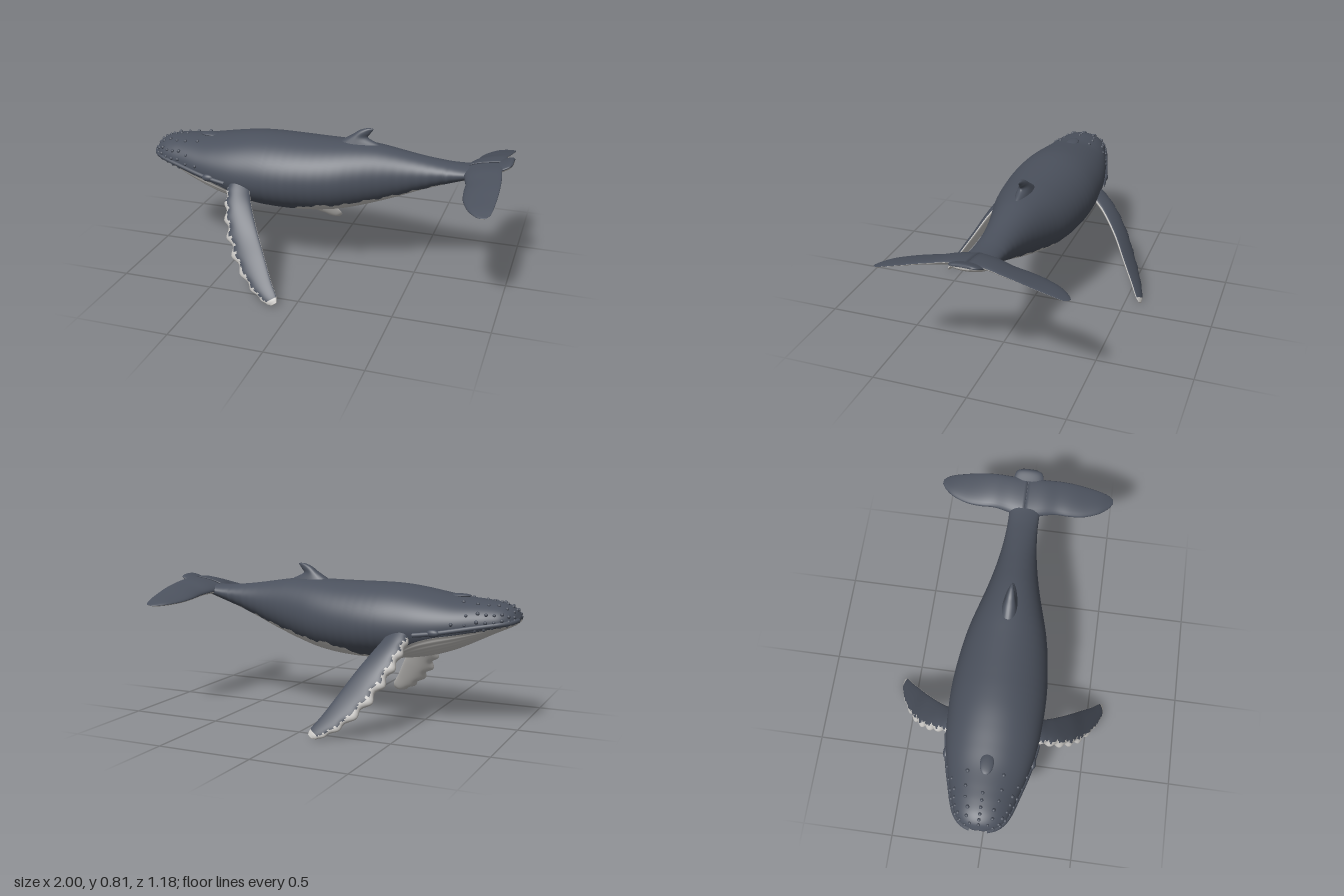
import * as THREE from 'three';

const V = (x, y, z) => new THREE.Vector3(x, y, z);
const curve = pts => new THREE.CatmullRomCurve3(pts, false, 'catmullrom', 0.5);

// Skin closed rings of points; pick(i, j) returns 0 (dark) or 1 (pale) for each quad
function loft(rings, pick) {
  const n = rings[0].length, faces = [[], []], pos = [];
  rings.forEach(r => r.forEach(p => pos.push(p.x, p.y, p.z)));
  const a = V(), b = V(), c = V();
  let volume = 0;
  for (let i = 0; i < rings.length - 1; i++) {
    for (let j = 0; j < n; j++) {
      const k = (j + 1) % n, p = i * n + j, q = i * n + k, r = p + n, s = q + n;
      faces[pick(i, j)].push(p, q, r, q, s, r);
      a.copy(rings[i][j]); b.copy(rings[i][k]); c.copy(rings[i + 1][j]);
      volume += a.dot(b.clone().cross(c));
      a.copy(rings[i][k]); b.copy(rings[i + 1][k]);
      volume += a.dot(b.clone().cross(c));
    }
  }
  // Turn the faces outward on mirrored parts
  if (volume < 0) {
    for (const f of faces) for (let i = 0; i < f.length; i += 3) [f[i], f[i + 1]] = [f[i + 1], f[i]];
  }
  const g = new THREE.BufferGeometry();
  g.setAttribute('position', new THREE.Float32BufferAttribute(pos, 3));
  g.setIndex([...faces[0], ...faces[1]]);
  g.addGroup(0, faces[0].length, 0);
  g.addGroup(faces[0].length, faces[1].length, 1);
  g.computeVertexNormals();
  return g;
}

// Fin from rows [leading xyz, trailing xyz, half thickness]
function blade(rows, side, pick, steps = 40, sides = 28, scallop = 0) {
  const lead = curve(rows.map(r => V(r[0], r[1], r[2] * side)));
  const trail = curve(rows.map(r => V(r[3], r[4], r[5] * side)));
  const thick = curve(rows.map((r, i) => V(i, r[6], 0)));
  const rings = [];
  for (let i = 0; i <= steps; i++) {
    const t = i / steps, e = 0.01;
    const L = lead.getPoint(t), T = trail.getPoint(t);
    const mid = L.clone().add(T).multiplyScalar(0.5);
    const chord = T.clone().sub(L).multiplyScalar(0.5);
    const t0 = Math.max(0, t - e), t1 = Math.min(1, t + e);
    const span = lead.getPoint(t1).add(trail.getPoint(t1)).sub(lead.getPoint(t0)).sub(trail.getPoint(t0));
    const normal = span.cross(chord).normalize().multiplyScalar(side);
    const h = Math.max(0.0005, thick.getPoint(t).y);
    const bump = scallop * Math.sin(t * 62) * Math.sin(Math.PI * t);
    rings.push(Array.from({ length: sides }, (_, j) => {
      const a = (j / sides) * Math.PI * 2, c = Math.cos(a);
      const reach = c + (c < 0 ? c * Math.abs(c) * bump : 0);
      // fuller toward the leading edge, thin at the trailing edge
      return mid.clone().addScaledVector(chord, reach)
        .addScaledVector(normal, Math.sin(a) * h * (1 - 0.35 * c));
    }));
  }
  rings.unshift(rings[0].map(() => rings[0].reduce((s, p) => s.add(p), V()).divideScalar(sides)));
  const end = rings[rings.length - 1];
  rings.push(end.map(() => end.reduce((s, p) => s.add(p), V()).divideScalar(sides)));
  return loft(rings, (i, j) => pick(i / (rings.length - 1), ((j + 0.5) / sides) * Math.PI * 2, i));
}

// Body stations: x, top, bottom, half width, widest height, colour border height
const stations = [
  [-1, 0.6, 0.575, 0.03, 0.588, 0.58], [-0.975, 0.635, 0.555, 0.09, 0.582, 0.568],
  [-0.93, 0.66, 0.533, 0.13, 0.577, 0.557], [-0.87, 0.673, 0.505, 0.155, 0.57, 0.545],
  [-0.8, 0.68, 0.47, 0.176, 0.562, 0.53], [-0.7, 0.688, 0.422, 0.205, 0.55, 0.512],
  [-0.6, 0.705, 0.385, 0.228, 0.538, 0.495], [-0.5, 0.722, 0.36, 0.243, 0.53, 0.462],
  [-0.4, 0.735, 0.345, 0.25, 0.525, 0.405], [-0.3, 0.74, 0.337, 0.253, 0.525, 0.366],
  [-0.2, 0.74, 0.334, 0.25, 0.525, 0.362], [-0.1, 0.739, 0.336, 0.24, 0.53, 0.395],
  [0, 0.739, 0.345, 0.226, 0.535, 0.42], [0.1, 0.74, 0.362, 0.205, 0.545, 0.424],
  [0.2, 0.738, 0.39, 0.176, 0.56, 0.446], [0.3, 0.731, 0.424, 0.147, 0.575, 0.468],
  [0.4, 0.716, 0.462, 0.122, 0.59, 0.494], [0.5, 0.7, 0.505, 0.103, 0.603, 0.525],
  [0.6, 0.687, 0.545, 0.09, 0.618, 0.56], [0.7, 0.679, 0.582, 0.084, 0.632, 0.592],
  [0.8, 0.682, 0.617, 0.086, 0.65, 0.638], [0.9, 0.705, 0.652, 0.088, 0.682, 0.675],
  [0.97, 0.728, 0.69, 0.075, 0.712, 0.708], [0.99, 0.726, 0.708, 0.045, 0.718, 0.716],
];
const LAST = stations.length - 1;
const heights = curve(stations.map(s => V(s[0], s[1], s[2])));
const widths = curve(stations.map(s => V(s[3], s[4], s[5])));

// Point on the skin at station u and angle a (0 = left flank, PI/2 = back)
function skin(u, a, swell = 1) {
  const h = heights.getPoint(u / LAST), w = widths.getPoint(u / LAST), s = Math.sin(a);
  const y = w.y + s * (s > 0 ? h.y - w.y : w.y - h.z) * swell;
  return V(h.x, y, Math.cos(a) * w.x * swell);
}

function bodyGeometry() {
  const upper = 56, lower = 56, steps = 184, rings = [];
  for (let i = 0; i <= steps; i++) {
    const u = (i / steps) * LAST, h = heights.getPoint(u / LAST), w = widths.getPoint(u / LAST);
    const wave = u > 9 && u < 19 ? 0.006 * Math.sin(u * 5.3) + 0.004 * Math.sin(u * 12.7 + 1) : 0;
    const drop = THREE.MathUtils.clamp((w.y - w.z - wave) / (w.y - h.z), 0.05, 0.985);
    const b = Math.asin(drop), ring = [];
    for (let j = 0; j < upper; j++) ring.push(skin(u, -b + (j / upper) * (Math.PI + 2 * b)));
    // throat pleats fade out toward the belly
    const pleat = 0.009 * THREE.MathUtils.smoothstep(u, 1, 4) * (1 - THREE.MathUtils.smoothstep(u, 10, 14));
    for (let j = 0; j < lower; j++) {
      const a = Math.PI + b + (j / lower) * (Math.PI - 2 * b);
      ring.push(skin(u, a, j ? 1 + pleat * (Math.cos(j * Math.PI / 2) - 1) : 1));
    }
    rings.push(ring);
  }
  const cap = u => { const c = skin(u, 0); c.z = 0; return rings[0].map(() => c); };
  rings.unshift(cap(0));
  rings.push(cap(LAST));
  return loft(rings, (i, j) => (j < upper ? 0 : 1));
}

export function createModel() {
  const dark = new THREE.MeshStandardMaterial({ color: 0x4b515d });
  dark.name = 'slate skin';
  const pale = new THREE.MeshStandardMaterial({ color: 0xc8c6c3 });
  pale.name = 'pale skin';
  const whale = new THREE.Group();
  whale.name = 'whale';
  const add = (name, geometry, material = [dark, pale]) => {
    const m = new THREE.Mesh(geometry, material);
    m.name = name;
    whale.add(m);
    return m;
  };

  add('body', bodyGeometry());

  // Dorsal fin, rising from the back
  add('dorsalFin', blade([
    [0.02, 0.7, 0, 0.36, 0.69, 0, 0.05], [0.08, 0.742, 0, 0.285, 0.735, 0, 0.036],
    [0.135, 0.775, 0, 0.225, 0.765, 0, 0.026], [0.175, 0.803, 0, 0.235, 0.79, 0, 0.018],
    [0.215, 0.818, 0, 0.25, 0.81, 0, 0.009], [0.24, 0.82, 0, 0.252, 0.818, 0, 0.002],
  ], 1, () => 0));

  for (const side of [1, -1]) {
    const label = side > 0 ? 'left' : 'right';

    // Long flippers: dark outer face, pale inner face, leading edge and tip
    const ragged = i => 0.12 * Math.sin(i * 2.1) + 0.08 * Math.sin(i * 0.9);
    add(label + 'Flipper', blade([
      [-0.49, 0.51, 0.2, -0.37, 0.52, 0.2, 0.032], [-0.485, 0.46, 0.255, -0.355, 0.475, 0.25, 0.032],
      [-0.465, 0.38, 0.33, -0.325, 0.425, 0.305, 0.03], [-0.42, 0.275, 0.405, -0.265, 0.33, 0.385, 0.028],
      [-0.35, 0.165, 0.475, -0.2, 0.22, 0.455, 0.024], [-0.25, 0.07, 0.54, -0.14, 0.12, 0.52, 0.02],
      [-0.16, 0.02, 0.578, -0.098, 0.06, 0.56, 0.014], [-0.115, 0.012, 0.587, -0.09, 0.03, 0.58, 0.004],
    ], side, (t, a, i) => {
      const edge = 2.35 + ragged(i) + 0.4 * (1 - THREE.MathUtils.smoothstep(t, 0, 0.3));
      return a > 0.1 && a < edge && t < 0.86 ? 0 : 1;
    }, 72, 40, 0.16));

    // Tail flukes: dark above, pale below
    add(label + 'Fluke', blade([
      [0.73, 0.645, 0, 0.95, 0.708, 0, 0.024], [0.755, 0.64, 0.09, 0.945, 0.705, 0.09, 0.024],
      [0.777, 0.632, 0.17, 0.955, 0.692, 0.17, 0.02], [0.781, 0.622, 0.25, 0.96, 0.675, 0.25, 0.017],
      [0.795, 0.612, 0.33, 0.96, 0.653, 0.33, 0.014], [0.83, 0.605, 0.41, 0.955, 0.63, 0.41, 0.011],
      [0.872, 0.601, 0.46, 0.947, 0.614, 0.455, 0.007], [0.905, 0.602, 0.482, 0.93, 0.606, 0.48, 0.002],
    ], side, (t, a) => (a < Math.PI ? 0 : 1)));

    // Lip ridge along the mouth line
    const flank = a => (side > 0 ? a : Math.PI - a);
    const lip = Array.from({ length: 15 }, (_, i) => skin(0.2 + i * 0.48, flank(-0.06 - 0.006 * i)));
    add(label + 'Lip', new THREE.TubeGeometry(curve(lip), 60, 0.012, 8), dark);

    // Eyelid bulge
    const lid = add(label + 'Eyelid', new THREE.SphereGeometry(1, 20, 14), dark);
    lid.position.copy(skin(5.9, flank(-0.12)));
    lid.scale.set(0.035, 0.02, 0.018);

    // Knobs in rows along the head and jaw
    for (const [angle, first, count, gap] of [[1.05, 1, 6, 0.75], [0.5, 0.8, 7, 0.6], [0.12, 0.7, 8, 0.62], [-0.3, 0.9, 6, 0.6]]) {
      for (let k = 0; k < count; k++) {
        const knob = add(label + 'HeadKnob', new THREE.SphereGeometry(0.0085 + 0.002 * ((k * 7) % 3) / 2, 10, 8), dark);
        knob.position.copy(skin(first + k * gap, flank(angle + 0.05 * Math.sin(k * 4))));
      }
    }
  }

  // Centre row of knobs and the blowhole ridge
  for (let k = 0; k < 6; k++) {
    add('crownKnob', new THREE.SphereGeometry(0.009, 10, 8), dark).position.copy(skin(0.9 + k * 0.55, Math.PI / 2));
  }
  const ridge = add('blowholeRidge', new THREE.SphereGeometry(1, 20, 12), dark);
  ridge.position.copy(skin(5.2, Math.PI / 2));
  ridge.scale.set(0.06, 0.01, 0.035);

  return whale;
}
